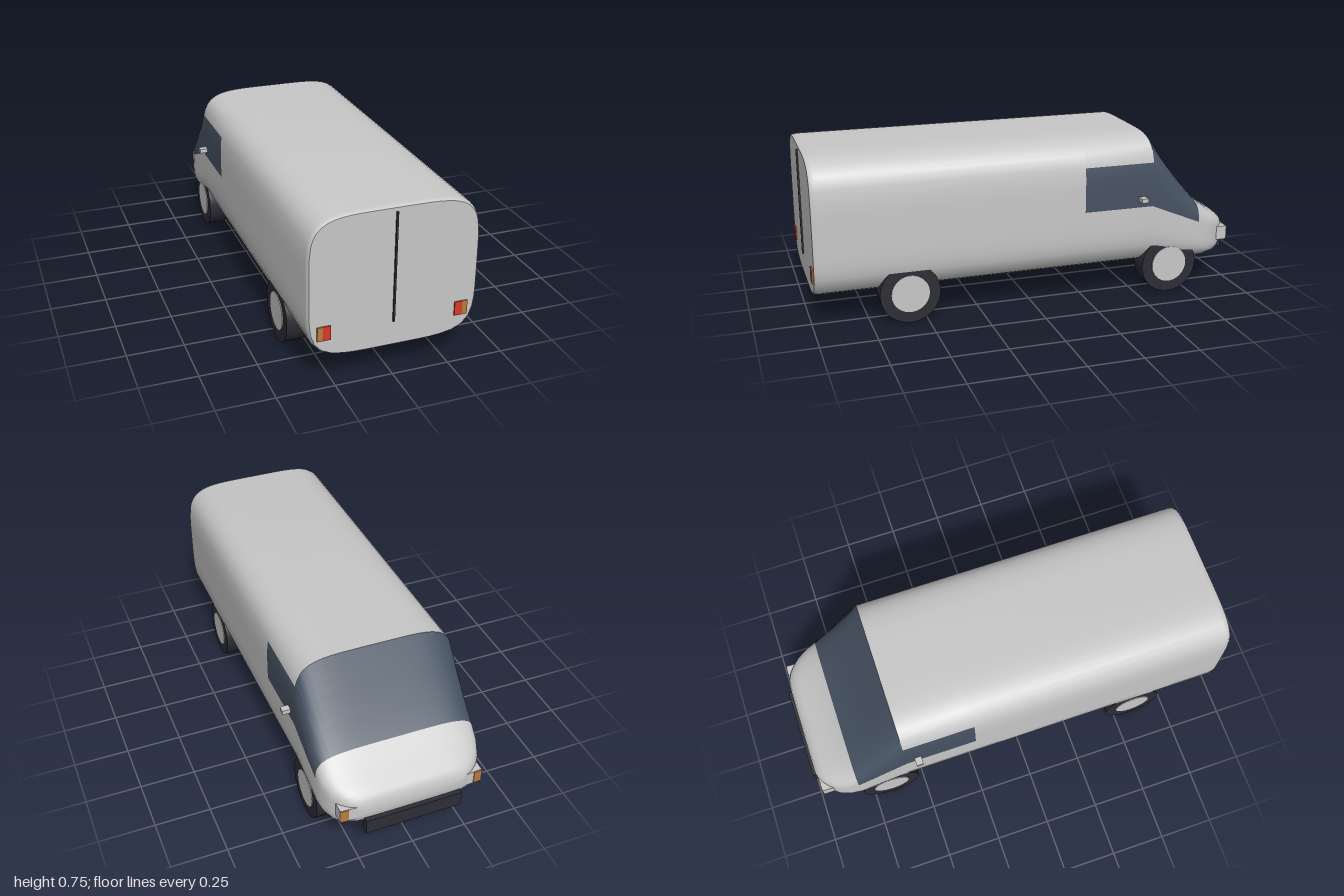
import * as THREE from 'three';
import { toCreasedNormals } from 'three/addons/utils/BufferGeometryUtils.js';

const mat = (name, color) => {
  const m = new THREE.MeshStandardMaterial({ color });
  m.name = name;
  return m;
};

// Body stations along z: [z, bottom, top, half width]
const STATIONS = [
  [0.99, 0.137, 0.746, 0.36], [0.983, 0.133, 0.751, 0.365], [0.965, 0.13, 0.754, 0.368],
  [-0.23, 0.13, 0.754, 0.368], [-0.56, 0.13, 0.754, 0.368], [-0.64, 0.13, 0.635, 0.368],
  [-0.72, 0.13, 0.53, 0.368], [-0.8, 0.13, 0.436, 0.367], [-0.85, 0.132, 0.395, 0.36],
  [-0.9, 0.14, 0.36, 0.34], [-0.935, 0.153, 0.34, 0.312], [-0.96, 0.175, 0.322, 0.282],
  [-0.974, 0.195, 0.3, 0.255], [-0.981, 0.215, 0.275, 0.23],
];
const LOW = 14, MID = 4, HIGH = 14, HALF = LOW + MID + HIGH, RING = HALF * 2;
const POWER = 5;

// One superellipse ring, with points lying exactly on the window's lower and upper edges
function ring([z, bottom, top, w]) {
  const cy = (top + bottom) / 2, h = (top - bottom) / 2;
  let y1 = 0.43, y2 = 0.635;
  if (z < -0.56) {
    y1 = z >= -0.8 ? 0.43 + (z + 0.56) * (0.1 / 0.24) : bottom + 0.645 * (top - bottom);
    y2 = y1 + 0.633 * (top - y1);
  }
  const angleAt = (y) => {
    const v = (y - cy) / h;
    return Math.atan2(v, Math.pow(1 - Math.pow(Math.abs(v), POWER), 1 / POWER));
  };
  const marks = [-Math.PI / 2, angleAt(y1), angleAt(y2), Math.PI / 2];
  const half = [];
  [LOW, MID, HIGH].forEach((n, b) => {
    for (let k = b ? 1 : 0; k <= n; k++) {
      const a = marks[b] + (marks[b + 1] - marks[b]) * k / n;
      const c = Math.cos(a), s = Math.sin(a);
      const r = Math.pow(Math.pow(Math.abs(c), POWER) + Math.pow(Math.abs(s), POWER), -1 / POWER);
      half.push([w * r * c, cy + h * r * s, z]);
    }
  });
  const mirrored = half.slice(1, -1).reverse().map(([x, y, zz]) => [-x, y, zz]);
  return [...half, ...mirrored];
}

function bodyGeometry() {
  const positions = STATIONS.flatMap(ring).flat();
  const paint = [], glass = [];
  const last = STATIONS.length - 1;
  for (let i = 0; i < last; i++) {
    const z = (STATIONS[i][0] + STATIONS[i + 1][0]) / 2;
    for (let j = 0; j < RING; j++) {
      const k = j < HALF ? j : RING - 1 - j;
      const sideWindow = z < -0.23 && z > -0.56 && k >= LOW && k < LOW + MID;
      const windscreen = z < -0.56 && z > -0.8 && k >= LOW;
      const n = (j + 1) % RING;
      const a = i * RING + j, b = i * RING + n, c = b + RING, d = a + RING;
      (sideWindow || windscreen ? glass : paint).push(a, d, c, a, c, b);
    }
  }
  // End caps
  const rear = positions.length / 3, nose = rear + 1;
  positions.push(0, 0.44, STATIONS[0][0], 0, 0.245, STATIONS[last][0] - 0.002);
  for (let j = 0; j < RING; j++) {
    const n = (j + 1) % RING;
    paint.push(rear, j, n, nose, last * RING + n, last * RING + j);
  }
  const g = new THREE.BufferGeometry();
  g.setAttribute('position', new THREE.Float32BufferAttribute(positions, 3));
  g.setIndex([...paint, ...glass]);
  g.addGroup(0, paint.length, 0);
  g.addGroup(paint.length, glass.length, 1);
  return toCreasedNormals(g, 0.6);
}

export function createModel() {
  const model = new THREE.Group();
  model.name = 'van';
  const paint = mat('silver paint', 0xc8c8c8);
  const glass = mat('tinted glass', 0x465262);
  const rubber = mat('black rubber', 0x2d2d36);
  const red = mat('red lens', 0xd63a2a);
  const amber = mat('amber lens', 0xb87d3c);

  const add = (name, geometry, material, x = 0, y = 0, z = 0) => {
    const m = new THREE.Mesh(geometry, material);
    m.name = name;
    m.position.set(x, y, z);
    model.add(m);
    return m;
  };
  const box = (name, material, w, h, d, x, y, z) =>
    add(name, new THREE.BoxGeometry(w, h, d), material, x, y, z);

  add('body', bodyGeometry(), [paint, glass]);
  box('rearDoorSeam', rubber, 0.008, 0.485, 0.012, 0, 0.4875, 0.992);
  box('frontBumper', rubber, 0.44, 0.07, 0.037, 0, 0.175, -0.9815);

  // Headlamp housing, its outer side swept back towards the rear
  const lampShape = new THREE.Shape([
    new THREE.Vector2(0.22, 0.9), new THREE.Vector2(0.325, 0.91),
    new THREE.Vector2(0.325, 0.968), new THREE.Vector2(0.22, 0.976),
  ]);
  const lampGeometry = new THREE.ExtrudeGeometry(lampShape, { depth: 0.065, bevelEnabled: false });
  lampGeometry.rotateX(-Math.PI / 2);

  for (const s of [1, -1]) {
    const side = s > 0 ? 'left' : 'right';

    // Wheels
    for (const [end, z] of [['Rear', 0.578], ['Front', -0.658]]) {
      const tyre = new THREE.CylinderGeometry(0.135, 0.135, 0.088, 48).rotateZ(Math.PI / 2);
      const hub = new THREE.CylinderGeometry(0.085, 0.085, 0.095, 40).rotateZ(Math.PI / 2);
      add(side + end + 'Tyre', tyre, rubber, s * 0.314, 0.135, z);
      add(side + end + 'Hub', hub, paint, s * 0.314, 0.135, z);
    }

    // Tail lamps
    box(side + 'TailLamp', red, 0.034, 0.063, 0.012, s * 0.287, 0.2485, 0.99);
    box(side + 'RearIndicator', amber, 0.023, 0.063, 0.012, s * 0.3155, 0.2485, 0.99);

    // Headlamps with indicators
    const lamp = add(side + 'Headlamp', lampGeometry, paint, 0, 0.215, 0);
    if (s < 0) lamp.rotation.z = Math.PI, lamp.position.y = 0.28;
    const indicator = box(side + 'FrontIndicator', amber, 0.037, 0.061, 0.006, s * 0.306, 0.2475, -0.9695);
    indicator.rotation.y = s * -0.076;

    // Door mirrors
    box(side + 'Mirror', paint, 0.05, 0.02, 0.032, s * 0.38, 0.47, -0.505);
  }
  return model;
}
